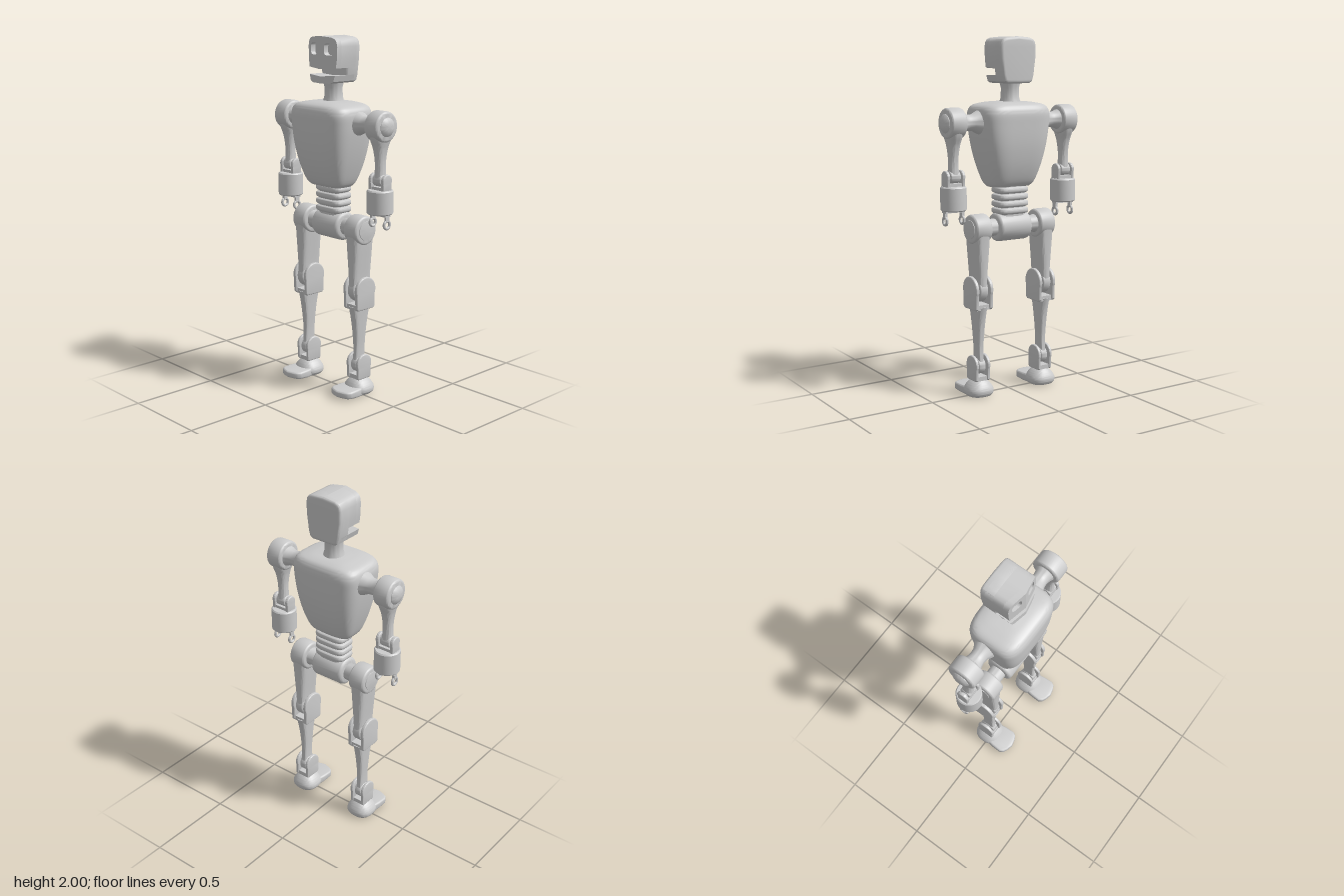
import * as THREE from 'three';
import { toCreasedNormals } from 'three/addons/utils/BufferGeometryUtils.js';

const CZ = -0.017; // depth of the joint axis
const material = new THREE.MeshStandardMaterial({ color: 0xcccccc });

function add(parent, name, geometry, x = 0, y = 0, z = 0) {
  const mesh = new THREE.Mesh(toCreasedNormals(geometry, 0.6), material);
  mesh.name = name;
  mesh.position.set(x, y, z);
  parent.add(mesh);
}

// Smooth vertical body through superellipse sections [y, halfX, halfZ], lowest first
function loft(sections, power, segs = 40, rows = 28) {
  const curve = new THREE.CatmullRomCurve3(sections.map(([y, hx, hz]) => new THREE.Vector3(hx, y, hz)), false, 'centripetal');
  const rings = curve.getPoints(rows);
  const pos = [], idx = [];
  const round = (v) => Math.sign(v) * Math.abs(v) ** (2 / power);
  for (const p of rings)
    for (let i = 0; i < segs; i++) {
      const a = (i / segs) * Math.PI * 2;
      pos.push(p.x * round(Math.cos(a)), p.y, p.z * round(Math.sin(a)));
    }
  for (let r = 0; r < rows; r++)
    for (let i = 0; i < segs; i++) {
      const j = (i + 1) % segs, a = r * segs + i, b = r * segs + j;
      idx.push(a, a + segs, b, b, a + segs, b + segs);
    }
  // end caps
  const bottom = pos.length / 3, top = bottom + 1;
  pos.push(0, rings[0].y, 0, 0, rings[rows].y, 0);
  for (let i = 0; i < segs; i++) {
    const j = (i + 1) % segs;
    idx.push(bottom, i, j, top, rows * segs + j, rows * segs + i);
  }
  const g = new THREE.BufferGeometry();
  g.setAttribute('position', new THREE.Float32BufferAttribute(pos, 3));
  g.setIndex(idx);
  return g;
}

const lathe = (points) => new THREE.LatheGeometry(points.map(([r, y]) => new THREE.Vector2(r, y)), 40);
// Turned part along x, pointing outward on side s
const latheX = (points, s = 1) => lathe(points).rotateZ(-s * Math.PI / 2);

// Disc along x with rounded rims
function disc(r, width, b) {
  const h = width / 2, pts = [[0, -h]];
  for (let i = 0; i <= 5; i++) {
    const a = (i / 5) * Math.PI / 2;
    pts.push([r - b + b * Math.sin(a), -h + b - b * Math.cos(a)]);
  }
  return latheX([...pts, ...pts.map(([x, y]) => [x, -y]).reverse()]);
}

const polygon = (pts) => new THREE.Shape(pts.map(([x, y]) => new THREE.Vector2(x, y)));
const mirror = (pts, s) => pts.map(([x, y]) => [s * x, y]);

// U-shaped fork: two round-topped cheeks joined by a bar
function fork(parent, name, x, y, r, bottom, half, t) {
  const g = new THREE.Group();
  g.name = name;
  parent.add(g);
  const shape = new THREE.Shape(), b = t * 0.35, low = bottom - y, c = r * 0.15;
  shape.moveTo(-r * 0.93 + c, low);
  shape.lineTo(r * 0.93 - c, low);
  shape.lineTo(r * 0.93, low + c);
  shape.lineTo(r * 0.93, -r * 0.37);
  shape.absarc(0, 0, r, -0.38, Math.PI + 0.38, false);
  shape.lineTo(-r * 0.93, low + c);
  shape.closePath();
  for (const s of [-1, 1]) {
    const cheek = new THREE.ExtrudeGeometry(shape, { depth: t - 2 * b, curveSegments: 20, bevelThickness: b, bevelSize: b, bevelOffset: -b, bevelSegments: 3 });
    cheek.translate(0, 0, b - t / 2).rotateY(-Math.PI / 2);
    add(g, 'cheek', cheek, x + s * (half - t / 2), y, CZ);
  }
  add(g, 'bar', new THREE.BoxGeometry(2 * half - t, t * 1.4, r * 1.6), x, bottom + t * 0.72, CZ);
  add(g, 'pin', disc(r * 0.5, 2 * half - t, 0.004), x, y, CZ);
}

function buildHead(root) {
  const head = new THREE.Group();
  head.name = 'head';
  root.add(head);
  // half outlines from the bottom centre to the top centre
  const jaw = [[0, 1.746], [0.072, 1.747], [0.09, 1.757], [0.1, 1.79]];
  const crown = [[0.105, 1.83], [0.112, 1.88], [0.114, 1.945], [0.109, 1.97], [0.098, 1.985], [0.075, 1.994], [0, 2.0]];
  const half = [...jaw, ...crown];
  const back = new THREE.ExtrudeGeometry(polygon([...half, ...mirror(half, -1).slice(1, -1).reverse()]),
    { depth: 0.066, bevelThickness: 0.014, bevelSize: 0.016, bevelOffset: -0.016, bevelSegments: 4 });
  add(head, 'skullBack', back, 0, 0, -0.097);

  // slab with its front swept back from the centre line
  const swept = (shape, z0, z1) => {
    const g = new THREE.ExtrudeGeometry(shape, { depth: z1 - z0, bevelEnabled: false }).translate(0, 0, z0);
    const p = g.attributes.position;
    for (let i = 0; i < p.count; i++) if (p.getZ(i) > 0.02) p.setZ(i, p.getZ(i) - 0.2 * Math.abs(p.getX(i)));
    return g;
  };
  for (const s of [-1, 1]) {
    const upper = mirror([[0, 1.822], ...crown], s);
    add(head, 'skullFront', swept(polygon(upper), -0.08, 0.054), 0, 0, 0);
    const face = polygon(upper), eye = new THREE.Path();
    for (let i = 0; i < 24; i++) {
      const a = (i / 24) * Math.PI * 2, c = Math.cos(a), d = Math.sin(a);
      const x = s * 0.058 + 0.031 * Math.sign(c) * Math.abs(c) ** 0.55, y = 1.93 + 0.032 * Math.sign(d) * Math.abs(d) ** 0.55;
      i ? eye.lineTo(x, y) : eye.moveTo(x, y);
    }
    eye.closePath();
    face.holes.push(eye);
    add(head, 'facePlate', swept(face, 0.05, 0.086));
    add(head, 'jaw', swept(polygon(mirror([...jaw, [0, 1.784]], s)), -0.08, 0.088));
  }
  add(head, 'neck', lathe([[0.065, 1.62], [0.058, 1.645], [0.051, 1.67], [0.05, 1.72], [0.058, 1.752]]), 0, 0, CZ);
}

function buildBody(root) {
  add(root, 'torso', loft([[1.175, 0.118, 0.068], [1.195, 0.135, 0.09], [1.28, 0.165, 0.125], [1.4, 0.194, 0.15],
    [1.52, 0.212, 0.158], [1.59, 0.213, 0.157], [1.622, 0.195, 0.143], [1.64, 0.135, 0.11], [1.648, 0.06, 0.05]], 4, 56, 40));
  // ribbed waist
  for (let i = 0; i < 4; i++) {
    const y = 1.04 + i * 0.039;
    add(root, 'waistRib', loft([[y - 0.018, 0.084, 0.056], [y - 0.01, 0.097, 0.067], [y + 0.01, 0.097, 0.067], [y + 0.018, 0.084, 0.056]], 4, 40, 9), 0, 0, CZ);
  }
  add(root, 'waistCore', loft([[1.0, 0.082, 0.054], [1.2, 0.082, 0.054]], 4, 40, 1), 0, 0, CZ);
  add(root, 'pelvis', disc(0.081, 0.21, 0.022), 0, 0.95, CZ);
  add(root, 'hipAxle', latheX([[0.06, -0.18], [0.048, -0.15], [0.048, 0.15], [0.06, 0.18]]), 0, 0.95, CZ);
}

function buildArm(root, s) {
  const arm = new THREE.Group(), x = s * 0.365;
  arm.name = s > 0 ? 'leftArm' : 'rightArm';
  root.add(arm);
  add(arm, 'shoulderAxle', latheX([[0.075, 0.18], [0.062, 0.215], [0.046, 0.245], [0.043, 0.275], [0.048, 0.3], [0.06, 0.325]], s), 0, 1.537, CZ);
  add(arm, 'shoulder', disc(0.084, 0.097, 0.016), x, 1.537, CZ);
  add(arm, 'shoulderCap', latheX([[0.053, 0.405], [0.051, 0.416], [0.04, 0.426], [0.022, 0.432], [0, 0.434]], s), 0, 1.537, CZ);
  add(arm, 'upperArm', loft([[1.25, 0.03, 0.032], [1.31, 0.026, 0.029], [1.36, 0.026, 0.032], [1.42, 0.033, 0.043], [1.47, 0.043, 0.062], [1.53, 0.046, 0.076]], 2.5), x, 0, CZ);
  add(arm, 'elbow', disc(0.034, 0.062, 0.008), x, 1.248, CZ);
  fork(arm, 'elbowFork', x, 1.248, 0.036, 1.185, 0.057, 0.02);
  add(arm, 'forearm', lathe([[0, 1.064], [0.066, 1.064], [0.072, 1.07], [0.072, 1.19], [0.066, 1.197], [0, 1.197]]), x, 0, CZ);
  // gripper: two ringed prongs
  add(arm, 'gripperBase', new THREE.BoxGeometry(0.12, 0.012, 0.04), x, 1.06, CZ);
  for (const side of [-1, 1]) {
    const px = x + side * 0.053;
    add(arm, 'prongStem', new THREE.BoxGeometry(0.014, 0.034, 0.026), px, 1.047, CZ);
    add(arm, 'prongRing', new THREE.TorusGeometry(0.021, 0.008, 10, 24).rotateY(Math.PI / 2), px, 1.01, CZ);
  }
}

function buildLeg(root, s) {
  const leg = new THREE.Group(), x = s * 0.211;
  leg.name = s > 0 ? 'leftLeg' : 'rightLeg';
  root.add(leg);
  add(leg, 'hip', disc(0.082, 0.102, 0.016), x, 0.95, CZ);
  add(leg, 'hipCap', latheX([[0.054, 0.044], [0.052, 0.054], [0.03, 0.057], [0, 0.058]], s), x, 0.95, CZ);
  add(leg, 'thigh', loft([[0.61, 0.026, 0.066], [0.69, 0.03, 0.067], [0.78, 0.037, 0.07], [0.87, 0.044, 0.073], [0.95, 0.048, 0.077]], 4), x, 0, CZ);
  add(leg, 'knee', disc(0.07, 0.052, 0.01), x, 0.61, CZ);
  fork(leg, 'kneeFork', x, 0.612, 0.075, 0.5, 0.056, 0.021);
  add(leg, 'shin', loft([[0.165, 0.017, 0.044], [0.2, 0.017, 0.038], [0.28, 0.018, 0.035], [0.38, 0.023, 0.042], [0.46, 0.027, 0.054], [0.515, 0.03, 0.066]], 4), x, 0, CZ);
  add(leg, 'ankle', disc(0.047, 0.042, 0.008), x, 0.172, CZ);
  fork(leg, 'ankleFork', x, 0.178, 0.056, 0.09, 0.047, 0.018);
  add(leg, 'heel', loft([[0.004, 0.068, 0.068], [0.018, 0.08, 0.077], [0.038, 0.08, 0.079], [0.06, 0.069, 0.07], [0.08, 0.052, 0.056], [0.096, 0.032, 0.04]], 2.5), x, 0, CZ);
  // thin flat toe plate with a blunt point, rising slightly to the tip
  const side = [[0.06, 0.03], [0.074, -0.06], [0.076, -0.115], [0.064, -0.135], [0.04, -0.147]];
  const toe = new THREE.ExtrudeGeometry(polygon([...side, [0, -0.157], ...mirror(side, -1).reverse()]),
    { depth: 0.018, bevelThickness: 0.009, bevelSize: 0.01, bevelOffset: -0.009, bevelSegments: 3 });
  toe.rotateX(-Math.PI / 2).translate(0, 0.009, 0);
  const p = toe.attributes.position;
  for (let i = 0; i < p.count; i++) {
    const f = Math.max(0, p.getZ(i)) / 0.16;
    p.setY(i, p.getY(i) * (1.45 - 0.45 * f) + 0.013 * f);
  }
  add(leg, 'toe', toe, x);
}

export function createModel() {
  const root = new THREE.Group();
  root.name = 'robot';
  buildHead(root);
  buildBody(root);
  for (const s of [-1, 1]) {
    buildArm(root, s);
    buildLeg(root, s);
  }
  return root;
}
